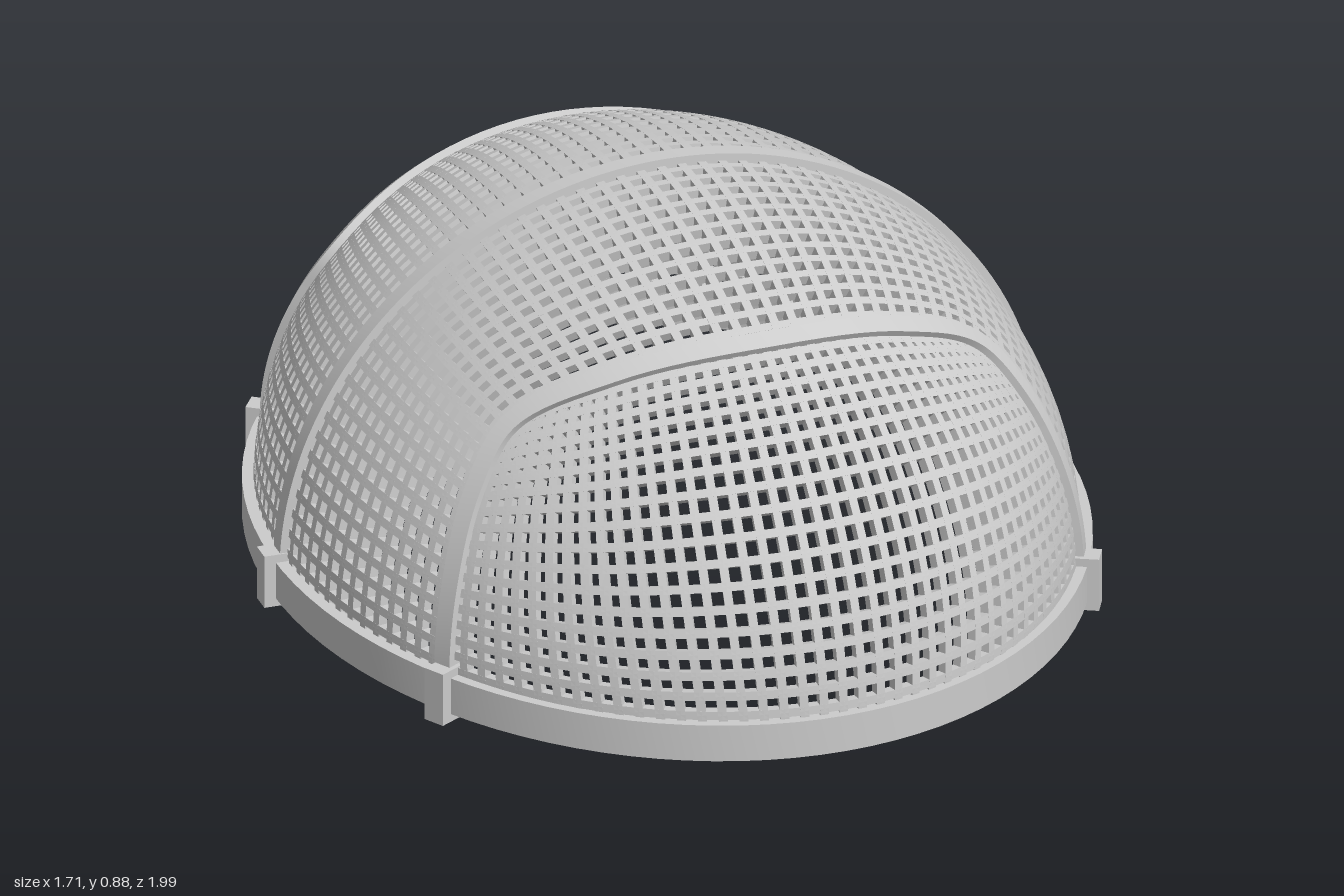
import * as THREE from 'three';
import { mergeGeometries, toCreasedNormals } from 'three/addons/utils/BufferGeometryUtils.js';

const V = (x, y, z) => new THREE.Vector3(x, y, z);
const RADII = V(0.795, 0.755, 0.97);
const BASE = 0.1;
const STRAP_Z = -0.055;
const tilt = (z) => -0.0075 * z;

// Push a point out onto the dome (dome space: base at y = 0)
const onDome = (p) => p.clone().divide(RADII).normalize().multiply(RADII);
const domeNormal = (p) => p.clone().divide(RADII).divide(RADII).normalize();
const rimNormal = (p) => V(p.x / 0.69, 0, p.z).normalize();

// Sweep a rectangle along points; lo and hi are offsets along the normal
function sweep(points, normalAt, width, lo, hi, closed = false) {
  const n = points.length, pos = [], idx = [];
  points.forEach((p, i) => {
    const a = points[closed ? (i + n - 1) % n : Math.max(i - 1, 0)];
    const b = points[closed ? (i + 1) % n : Math.min(i + 1, n - 1)];
    const N = normalAt(p);
    const S = b.clone().sub(a).cross(N).normalize();
    for (const [s, h] of [[-1, lo], [1, lo], [1, hi], [-1, hi]]) {
      const q = p.clone().addScaledVector(S, s * width / 2).addScaledVector(N, h);
      pos.push(q.x, q.y + BASE + tilt(q.z), q.z);
    }
  });
  for (let i = 0; i < (closed ? n : n - 1); i++) {
    const lower = i * 4, upper = ((i + 1) % n) * 4;
    for (let j = 0; j < 4; j++) {
      const k = (j + 1) % 4;
      idx.push(upper + j, upper + k, lower + k, upper + j, lower + k, lower + j);
    }
  }
  if (!closed) {
    const e = (n - 1) * 4;
    idx.push(0, 1, 2, 0, 2, 3, e, e + 2, e + 1, e, e + 3, e + 2);
  }
  const g = new THREE.BufferGeometry();
  g.setAttribute('position', new THREE.Float32BufferAttribute(pos, 3));
  g.setIndex(idx);
  const flat = g.toNonIndexed();
  flat.computeVertexNormals();
  return flat;
}

const sample = (n, f) => Array.from({ length: n + 1 }, (_, i) => f(i / n));

// Lattice of crossing wires over a surface patch
function lattice(surface, cols, rows) {
  const wires = [];
  const wire = (pts, w) => wires.push(sweep(pts, domeNormal, w, -0.01, 0.011));
  for (let i = 1; i < cols; i++) wire(sample(rows, (v) => surface(i / cols, v)), 0.018);
  for (let j = 1; j < rows; j++) wire(sample(cols, (u) => surface(u, j / rows)), 0.018);
  return mergeGeometries(wires);
}

// Symmetric curve from right foot over the dome to left foot
function archCurve(half) {
  const mirrored = half.slice(0, -1).reverse().map((p) => V(-p.x, p.y, p.z));
  return new THREE.CatmullRomCurve3([...half, ...mirrored].map(onDome));
}

export function createModel() {
  const group = new THREE.Group();
  const material = new THREE.MeshStandardMaterial({ color: 0xcccccc });
  const add = (name, geometry) => {
    const mesh = new THREE.Mesh(geometry, material);
    mesh.name = name;
    group.add(mesh);
    return mesh;
  };

  // Oval base rim
  const rim = sample(96, (t) => V(0.83 * Math.cos(t * 2 * Math.PI), -0.013, 0.997 * Math.sin(t * 2 * Math.PI)));
  rim.pop();
  add('rim', toCreasedNormals(sweep(rim, rimNormal, 0.08, -0.03, 0, true), 0.6));

  // Arched bands: front and back bend at two shoulders, the middle is a plain arc
  const arches = {
    front: archCurve([V(0.68, 0, 0.53), V(0.65, 0.2, 0.505), V(0.58, 0.38, 0.455), V(0.5, 0.5, 0.43),
      V(0.3, 0.59, 0.485), V(0, 0.63, 0.53)]),
    back: archCurve([V(0.61, 0, -0.655), V(0.6, 0.18, -0.625), V(0.55, 0.33, -0.58), V(0.49, 0.43, -0.56),
      V(0.29, 0.53, -0.63), V(0, 0.57, -0.655)]),
    middle: archCurve(sample(6, (t) => V(0.795 * Math.cos(t * Math.PI / 2), 0.755 * Math.sin(t * Math.PI / 2), STRAP_Z))),
  };
  for (const [name, curve] of Object.entries(arches)) {
    const pts = sample(80, (t) => onDome(curve.getPoint(t)));
    add(name + 'Band', toCreasedNormals(sweep(pts, domeNormal, 0.04, -0.014, 0.026), 0.6));

    // Clips holding the band ends to the rim
    const foot = curve.getPoint(0);
    const angle = Math.atan2(foot.z / 0.997, foot.x / 0.83);
    for (const side of [1, -1]) {
      const p = V(side * 0.83 * Math.cos(angle), 0, 0.997 * Math.sin(angle));
      const dir = rimNormal(p);
      const clip = add(name + (side > 0 ? 'LeftClip' : 'RightClip'), new THREE.BoxGeometry(0.048, 0.115, 0.06));
      clip.position.set(p.x - dir.x * 0.006, 0.087 + tilt(p.z), p.z - dir.z * 0.006);
      clip.rotation.y = Math.atan2(dir.x, dir.z);
    }
  }

  // Side panels between the middle band and each end band
  for (const name of ['front', 'back']) {
    const A = sample(56, (t) => arches.middle.getPointAt(t));
    const B = sample(56, (t) => arches[name].getPointAt(t));
    const surface = (u, v) => {
      const i = Math.round(u * 56);
      return onDome(A[i].clone().lerp(B[i], v));
    };
    add(name + 'MiddleLattice', lattice(surface, 56, name === 'front' ? 14 : 15));
  }

  // End panels: four-sided patches bounded by the rim, two band legs and the band top
  for (const name of ['front', 'back']) {
    const curve = arches[name];
    const foot = curve.getPoint(0);
    const start = Math.atan2(foot.z / RADII.z, foot.x / RADII.x);
    const end = Math.sign(start) * Math.PI - start;
    const surface = (u, v) => {
      const a = start + (end - start) * u;
      const p = V(RADII.x * Math.cos(a), 0, RADII.z * Math.sin(a)).multiplyScalar(1 - v);
      p.addScaledVector(curve.getPoint(0.3 + 0.4 * u), v);
      p.addScaledVector(curve.getPoint(0.3 * v), 1 - u);
      p.addScaledVector(curve.getPoint(1 - 0.3 * v), u);
      p.addScaledVector(curve.getPoint(0), -(1 - u) * (1 - v));
      p.addScaledVector(curve.getPoint(1), -u * (1 - v));
      p.addScaledVector(curve.getPoint(0.3), -(1 - u) * v);
      p.addScaledVector(curve.getPoint(0.7), -u * v);
      return onDome(p);
    };
    add(name + 'EndLattice', lattice(surface, 40, name === 'front' ? 19 : 17));
  }

  // Small wire latch loop hanging at the back
  const rect = (path, w, y0, y1) => path.moveTo(-w, y0).lineTo(w, y0).lineTo(w, y1).lineTo(-w, y1).closePath();
  const loop = rect(new THREE.Shape(), 0.075, 0, 0.075);
  loop.holes.push(rect(new THREE.Path(), 0.06, 0.014, 0.062));
  const latch = add('latchLoop', new THREE.ExtrudeGeometry(loop, { depth: 0.012, bevelEnabled: false }));
  latch.position.z = -0.99;

  return group;
}
